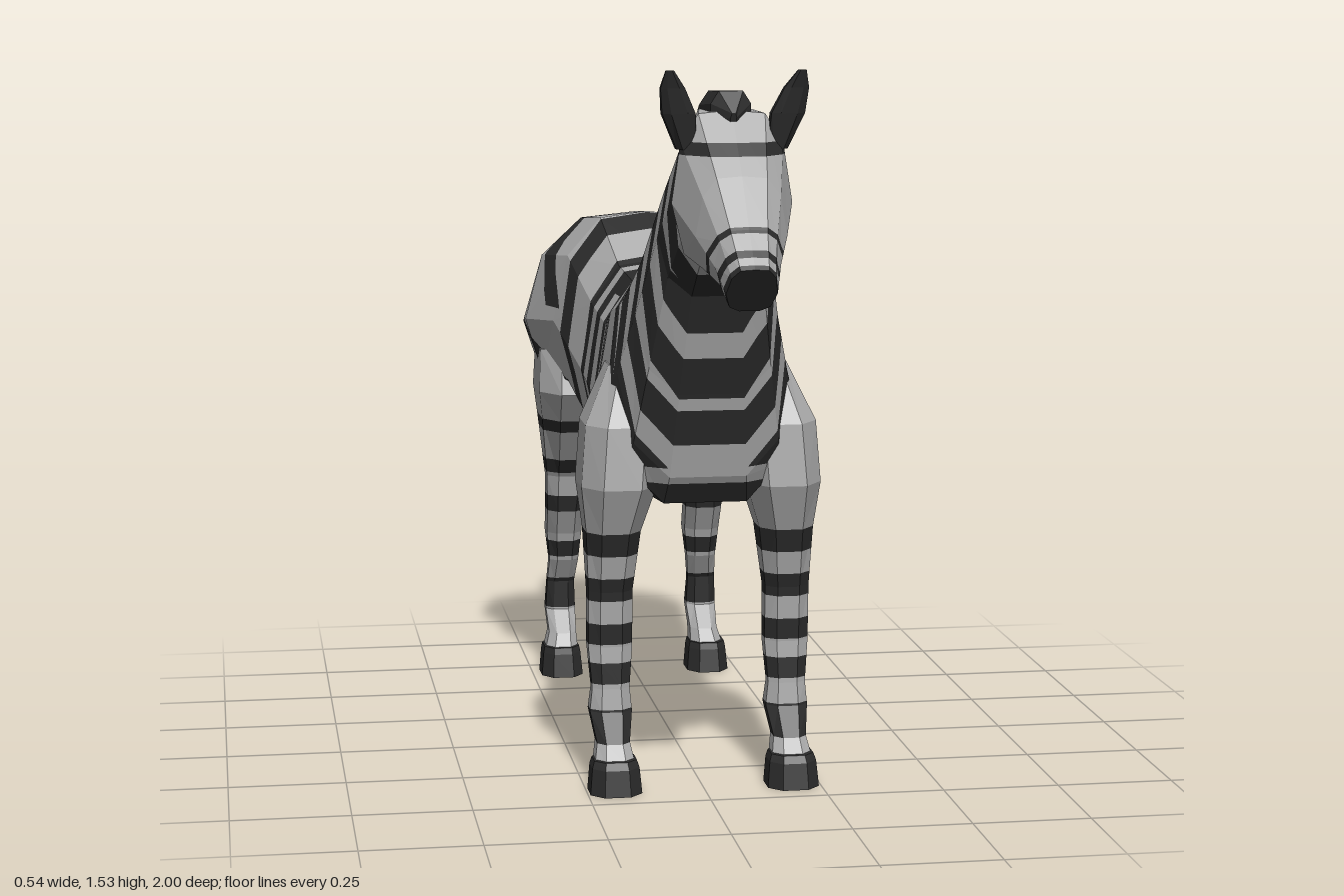
import * as THREE from 'three';

const light = new THREE.MeshStandardMaterial({ color: 0xacacac });
light.name = 'pale grey coat';
const dark = new THREE.MeshStandardMaterial({ color: 0x2b2b2b });
dark.name = 'charcoal stripe';

const V = (x, y, z) => new THREE.Vector3(x, y, z);

// Half cross-section: [share of half width, height share from underside to top]
const ROUND = [[0, 1], [0.5, 0.97], [0.85, 0.78], [1, 0.45], [0.85, 0.15], [0.45, 0]];
const HEAD = [[0, 1], [0.55, 0.98], [0.85, 0.8], [1, 0.42], [0.8, 0.1], [0.4, 0]];
const SLAB = [[0.6, 1], [1, 0.6], [1, 0]];

// Ring from an upper point, a lower point and a half width
function spineRing(profile, [zt, yt, zb, yb, w, xc = 0]) {
  const at = ([fx, h], s) => V(xc + s * fx * w, yb + (yt - yb) * h, zb + (zt - zb) * h);
  const left = profile.map(p => at(p, 1));
  const right = profile.filter(p => p[0] > 0).map(p => at(p, -1)).reverse();
  return [...left, ...right];
}

// Level ring for limbs: height, front z, back z, centre x, half width
function limbRing([y, zf, zb, xc, w], side) {
  const corners = [[1, 0.5], [0.5, 1], [-0.5, 1], [-1, 0.5], [-1, -0.5], [-0.5, -1], [0.5, -1], [1, -0.5]];
  return corners.map(([a, b]) => V(side * (xc + a * w), y, (zf + zb) / 2 + b * (zf - zb) / 2));
}

// Closed triangle list through rings, always facing outward
function loft(rings) {
  const tris = [], n = rings[0].length;
  for (let i = 0; i + 1 < rings.length; i++) {
    for (let k = 0; k < n; k++) {
      const a = rings[i][k], b = rings[i][(k + 1) % n];
      const d = rings[i + 1][k], c = rings[i + 1][(k + 1) % n];
      tris.push([a, d, c], [a, c, b]);
    }
  }
  for (const [ring, first] of [[rings[0], true], [rings[rings.length - 1], false]]) {
    const mid = ring.reduce((s, p) => s.add(p), V(0, 0, 0)).divideScalar(n);
    ring.forEach((p, k) => {
      const q = ring[(k + 1) % n];
      tris.push(first ? [mid, p, q] : [mid, q, p]);
    });
  }
  const volume = tris.reduce((s, [a, b, c]) => s + a.dot(V(0, 0, 0).crossVectors(b, c)), 0);
  return volume < 0 ? tris.map(t => t.reverse()) : tris;
}

// Part of a polygon where f >= 0
function clip(poly, f) {
  const out = [];
  poly.forEach((p, i) => {
    const q = poly[(i + 1) % poly.length], fp = f(p), fq = f(q);
    if (fp >= 0) out.push(p);
    if ((fp >= 0) !== (fq >= 0)) out.push(p.clone().lerp(q, fp / (fp - fq)));
  });
  return out;
}

// Cuts the stripes (each a list of limiting planes) out of the faces
function stripedMesh(name, tris, stripes = [], base = light) {
  let plain = tris;
  const striped = [];
  for (const planes of stripes) {
    const next = [];
    for (const poly of plain) {
      let rest = poly;
      for (const f of planes) {
        const outside = clip(rest, p => -f(p));
        if (outside.length > 2) next.push(outside);
        rest = clip(rest, f);
        if (rest.length < 3) break;
      }
      if (rest.length > 2) striped.push(rest);
    }
    plain = next;
  }
  const pts = [];
  const add = polys => polys.forEach(p => {
    for (let i = 1; i + 1 < p.length; i++) pts.push(p[0], p[i], p[i + 1]);
  });
  add(plain);
  const split = pts.length;
  add(striped);
  const geo = new THREE.BufferGeometry().setFromPoints(pts);
  geo.computeVertexNormals();
  if (striped.length) {
    geo.addGroup(0, split, 0);
    geo.addGroup(split, pts.length - split, 1);
  }
  const mesh = new THREE.Mesh(geo, striped.length ? [base, dark] : base);
  mesh.name = name;
  return mesh;
}

const band = (f, lo, hi) => [p => f(p) - lo, p => hi - f(p)];
const level = (lo, hi) => band(p => p.y, lo, hi);
// Stripe of width w around a line seen from the side
function slant(z1, y1, z2, y2, w) {
  const len = Math.hypot(z2 - z1, y2 - y1);
  return band(p => ((p.z - z1) * (y2 - y1) - (p.y - y1) * (z2 - z1)) / len, -w / 2, w / 2);
}

export function createModel() {
  const model = new THREE.Group();
  model.name = 'zebra';

  // Trunk and neck, rump to poll
  const trunk = [
    [-0.76, 0.97, -0.75, 0.77, 0.14], [-0.68, 1.09, -0.70, 0.69, 0.265], [-0.6, 1.14, -0.58, 0.68, 0.27],
    [-0.43, 1.155, -0.45, 0.69, 0.22], [-0.26, 1.06, -0.24, 0.61, 0.18], [-0.02, 1.05, 0, 0.56, 0.18],
    [0.2, 1.11, 0.2, 0.6, 0.2], [0.25, 1.13, 0.42, 0.62, 0.195], [0.28, 1.15, 0.455, 0.68, 0.18],
    [0.34, 1.2, 0.5, 0.86, 0.15], [0.46, 1.33, 0.56, 1.07, 0.115], [0.62, 1.45, 0.65, 1.17, 0.095],
    [0.7, 1.46, 0.7, 1.2, 0.08],
  ];
  const lean = p => p.z + 0.12 * (p.y - 0.85);
  const barrel = [[0.145, 0.2], [0.07, 0.12], [-0.035, 0.015], [-0.145, -0.09], [-0.25, -0.2], [-0.39, -0.335]];
  const neckOnly = p => p.z - 0.21;
  const trunkStripes = [
    ...barrel.map(([lo, hi]) => band(lean, lo, hi)),
    // joined stripe along the back
    [...band(lean, -0.145, -0.02), p => p.y - 1.0],
    // neck and chest
    ...[[0.61, 1.36, 0.585, 1.13], [0.51, 1.35, 0.55, 1.05], [0.43, 1.32, 0.505, 0.92],
      [0.35, 1.21, 0.475, 0.81], [0.285, 1.16, 0.43, 0.72]].map(l => [neckOnly, p => p.y - 0.7, ...slant(...l, 0.04)]),
    [neckOnly, p => p.y - 0.85, ...slant(0.235, 1.12, 0.35, 0.85, 0.035)],
    [neckOnly, p => 0.665 - p.y],
    // haunch
    [p => -0.4 - p.z, p => p.y - 0.93, ...slant(-0.61, 1.14, -0.46, 0.93, 0.06)],
    [p => -0.42 - p.z, ...slant(-0.45, 0.73, -0.76, 0.92, 0.05)],
  ];
  model.add(stripedMesh('trunkAndNeck', loft(trunk.map(s => spineRing(ROUND, s))), trunkStripes));

  // Head with brow band, nose stripes and dark mouth
  const head = [
    [0.62, 1.46, 0.66, 1.18, 0.085], [0.73, 1.455, 0.74, 1.145, 0.12], [0.85, 1.335, 0.84, 1.135, 0.09],
    [0.93, 1.24, 0.9, 1.12, 0.065], [0.995, 1.17, 0.935, 1.085, 0.05],
  ];
  const muzzle = p => p.z - 0.8 * p.y;
  model.add(stripedMesh('head', loft(head.map(s => spineRing(HEAD, s))), [
    [p => p.z - 0.69, ...level(1.37, 1.395)],
    band(muzzle, -0.07, -0.052), band(muzzle, 0.0, 0.022), [p => muzzle(p) - 0.045],
  ]));

  // Mane
  const mane = [
    [0.22, 1.175, 0.23, 1.1, 0.03], [0.32, 1.205, 0.32, 1.12, 0.05], [0.48, 1.395, 0.5, 1.31, 0.05],
    [0.63, 1.488, 0.65, 1.42, 0.05], [0.72, 1.492, 0.72, 1.43, 0.04], [0.755, 1.45, 0.75, 1.43, 0.006],
  ];
  model.add(stripedMesh('mane', loft(mane.map(s => spineRing(SLAB, s))), [], dark));

  // Tail, swung slightly to the left
  const tail = [
    [-0.64, 1.1, -0.66, 1.03, 0.05, 0], [-0.78, 1.1, -0.74, 1.0, 0.065, 0.005], [-0.9, 1.055, -0.81, 0.95, 0.095, 0.02],
    [-0.955, 0.96, -0.83, 0.88, 0.09, 0.025], [-1, 0.64, -0.83, 0.62, 0.065, 0.035], [-0.85, 0.465, -0.84, 0.46, 0.008, 0.035],
  ];
  model.add(stripedMesh('tail', loft(tail.map(s => spineRing(SLAB, s))), [], dark));

  // Limbs and ears: height, front z, back z, centre x, half width
  const frontLeg = [
    [0.9, 0.35, 0.22, 0.15, 0.04], [0.78, 0.42, 0.2, 0.165, 0.08], [0.65, 0.43, 0.2, 0.175, 0.08],
    [0.55, 0.39, 0.24, 0.185, 0.058], [0.42, 0.36, 0.27, 0.19, 0.047], [0.3, 0.35, 0.275, 0.19, 0.047],
    [0.21, 0.355, 0.295, 0.19, 0.04], [0.16, 0.36, 0.28, 0.19, 0.045], [0.1, 0.4, 0.32, 0.19, 0.035],
    [0.06, 0.43, 0.34, 0.19, 0.043],
  ];
  const hindLeg = [
    [0.82, -0.48, -0.72, 0.15, 0.09], [0.72, -0.45, -0.74, 0.155, 0.09], [0.65, -0.5, -0.73, 0.16, 0.075],
    [0.5, -0.6, -0.7, 0.165, 0.052], [0.41, -0.62, -0.725, 0.17, 0.044], [0.35, -0.65, -0.76, 0.17, 0.042],
    [0.28, -0.67, -0.735, 0.17, 0.035], [0.22, -0.705, -0.75, 0.175, 0.033], [0.15, -0.705, -0.775, 0.175, 0.036],
    [0.1, -0.655, -0.745, 0.175, 0.033], [0.06, -0.63, -0.735, 0.18, 0.04],
  ];
  const frontHoof = [[0.07, 0.435, 0.345, 0.19, 0.045], [0.055, 0.445, 0.34, 0.19, 0.05], [0, 0.455, 0.34, 0.19, 0.055]];
  const hindHoof = [[0.07, -0.625, -0.735, 0.18, 0.042], [0.055, -0.62, -0.74, 0.18, 0.045], [0, -0.61, -0.74, 0.18, 0.05]];
  const ear = [
    [1.38, 0.75, 0.7, 0.09, 0.02], [1.45, 0.765, 0.72, 0.108, 0.033], [1.5, 0.775, 0.745, 0.122, 0.024],
    [1.535, 0.785, 0.775, 0.13, 0.008],
  ];
  const frontBands = [[0.5, 0.55], [0.4, 0.45], [0.305, 0.35], [0.22, 0.265], [0.1, 0.165]].map(b => level(...b));
  const hindBands = [[0.62, 0.65], [0.51, 0.545], [0.41, 0.45], [0.29, 0.33], [0.155, 0.23]].map(b => level(...b));

  for (const [sideName, side] of [['left', 1], ['right', -1]]) {
    const limb = (name, sections, stripes, base) =>
      model.add(stripedMesh(sideName + name, loft(sections.map(s => limbRing(s, side))), stripes, base));
    limb('FrontLeg', frontLeg, frontBands);
    limb('HindLeg', hindLeg, hindBands);
    limb('FrontHoof', frontHoof, [], dark);
    limb('HindHoof', hindHoof, [], dark);
    limb('Ear', ear, [], dark);
  }
  return model;
}
